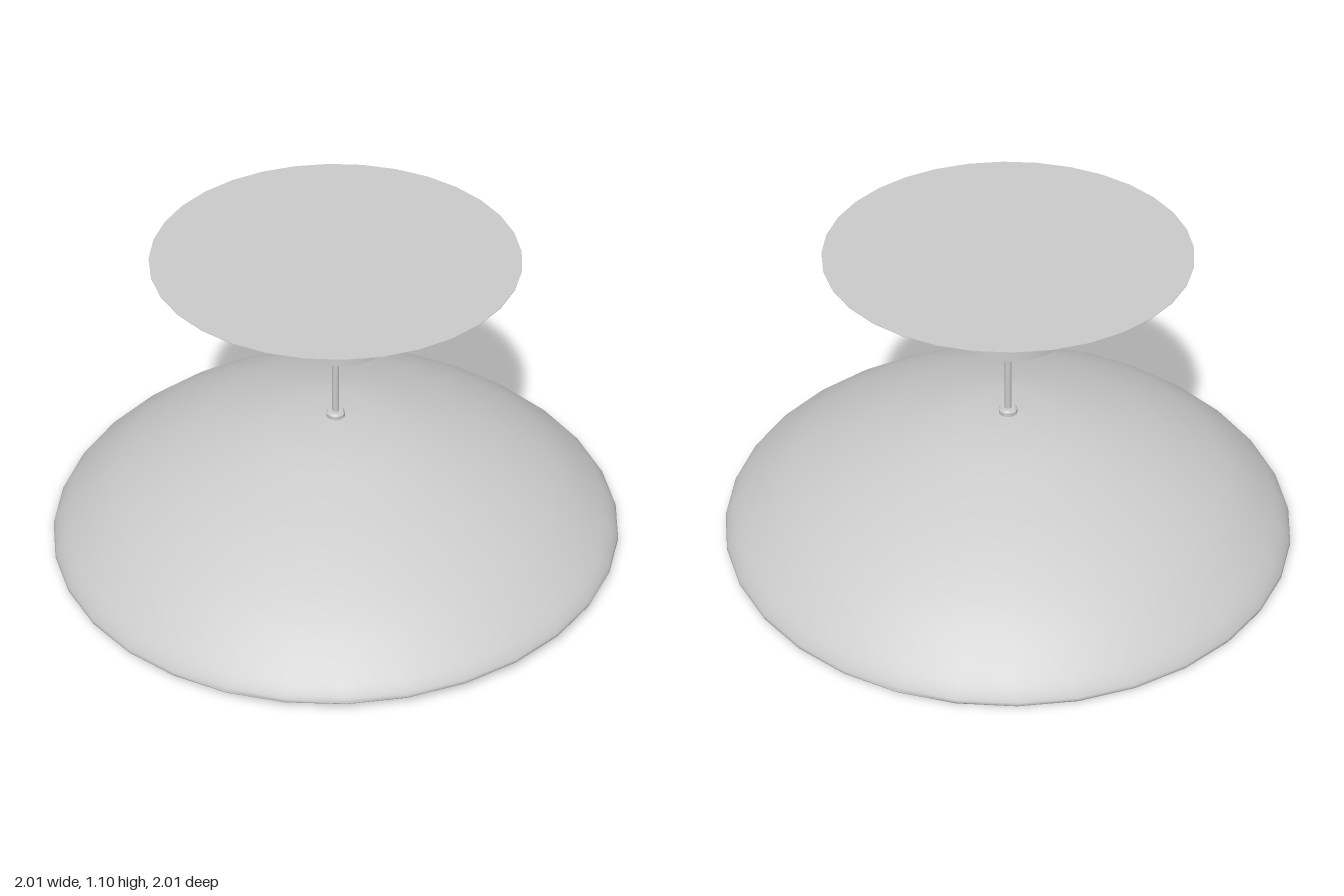
import * as THREE from 'three';
import { toCreasedNormals } from 'three/addons/utils/BufferGeometryUtils.js';

const SEGMENTS = 32;

function createMaterial(side = THREE.FrontSide) {
  return new THREE.MeshStandardMaterial({ color: 0xcccccc, side });
}

// Revolve a list of [radius, height] points, listed from bottom to top on the outside
function revolve(points, segments = SEGMENTS) {
  return new THREE.LatheGeometry(points.map(([r, y]) => new THREE.Vector2(r, y)), segments);
}

function smoothPoints(points, count) {
  const curve = new THREE.SplineCurve(points.map(([r, y]) => new THREE.Vector2(r, y)));
  return curve.getPoints(count).map((p) => [Math.max(p.x, 0), p.y]);
}

// Thin dome whose rim lifts gently toward the front
function createShadeGeometry() {
  const outer = smoothPoints(
    [[0.995, 0.005], [1, 0.022], [0.95, 0.085], [0.8, 0.207], [0.6, 0.315], [0.4, 0.39], [0.2, 0.443], [0, 0.461]], 28);
  const inner = smoothPoints(
    [[0, 0.445], [0.2, 0.427], [0.4, 0.374], [0.6, 0.298], [0.8, 0.19], [0.94, 0.07], [0.985, 0.005]], 24);
  const geometry = revolve([...inner, ...outer]);
  const pos = geometry.attributes.position;
  for (let i = 0; i < pos.count; i++) {
    const x = pos.getX(i), z = pos.getZ(i);
    const weight = Math.min(1, Math.hypot(x, z) ** 4);
    pos.setY(i, pos.getY(i) - 0.005 + weight * 0.038 * ((1 + z) / 2) ** 2);
  }
  geometry.computeVertexNormals();
  return toCreasedNormals(geometry, 0.9);
}

export function createModel() {
  const group = new THREE.Group();
  const add = (name, geometry, side) => {
    const mesh = new THREE.Mesh(geometry, createMaterial(side));
    mesh.name = name;
    group.add(mesh);
    return mesh;
  };
  const addCylinder = (name, radius, bottom, top, segments = SEGMENTS) => {
    const mesh = add(name, new THREE.CylinderGeometry(radius, radius, top - bottom, segments));
    mesh.position.y = (bottom + top) / 2;
  };

  // Ceiling plate: flared cone with a flat top
  add('ceilingPlate', toCreasedNormals(
    revolve([[0, 0.93], [0.32, 0.93], [0.613, 1.098], [0.613, 1.1], [0, 1.1]]), 0.6));

  // Mount, stem and the collar that holds the shade
  addCylinder('ceilingMount', 0.217, 0.805, 0.93);
  addCylinder('stem', 0.012, 0.43, 0.806, 16);
  add('shadeCollar', toCreasedNormals(
    revolve([[0.032, 0.45], [0.032, 0.468], [0.026, 0.475], [0, 0.475]], 24), 0.6));

  add('shade', createShadeGeometry(), THREE.DoubleSide);

  // Lamp holder and pear-shaped bulb under the dome
  add('bulbSocket', toCreasedNormals(
    revolve([[0, 0.385], [0.05, 0.385], [0.058, 0.395], [0.058, 0.415], [0.045, 0.425], [0.045, 0.45]], 24), 0.7));
  add('bulb', revolve(smoothPoints(
    [[0, 0.17], [0.055, 0.184], [0.097, 0.23], [0.107, 0.28], [0.09, 0.33], [0.062, 0.365], [0.05, 0.395]], 24), 24));

  return group;
}
